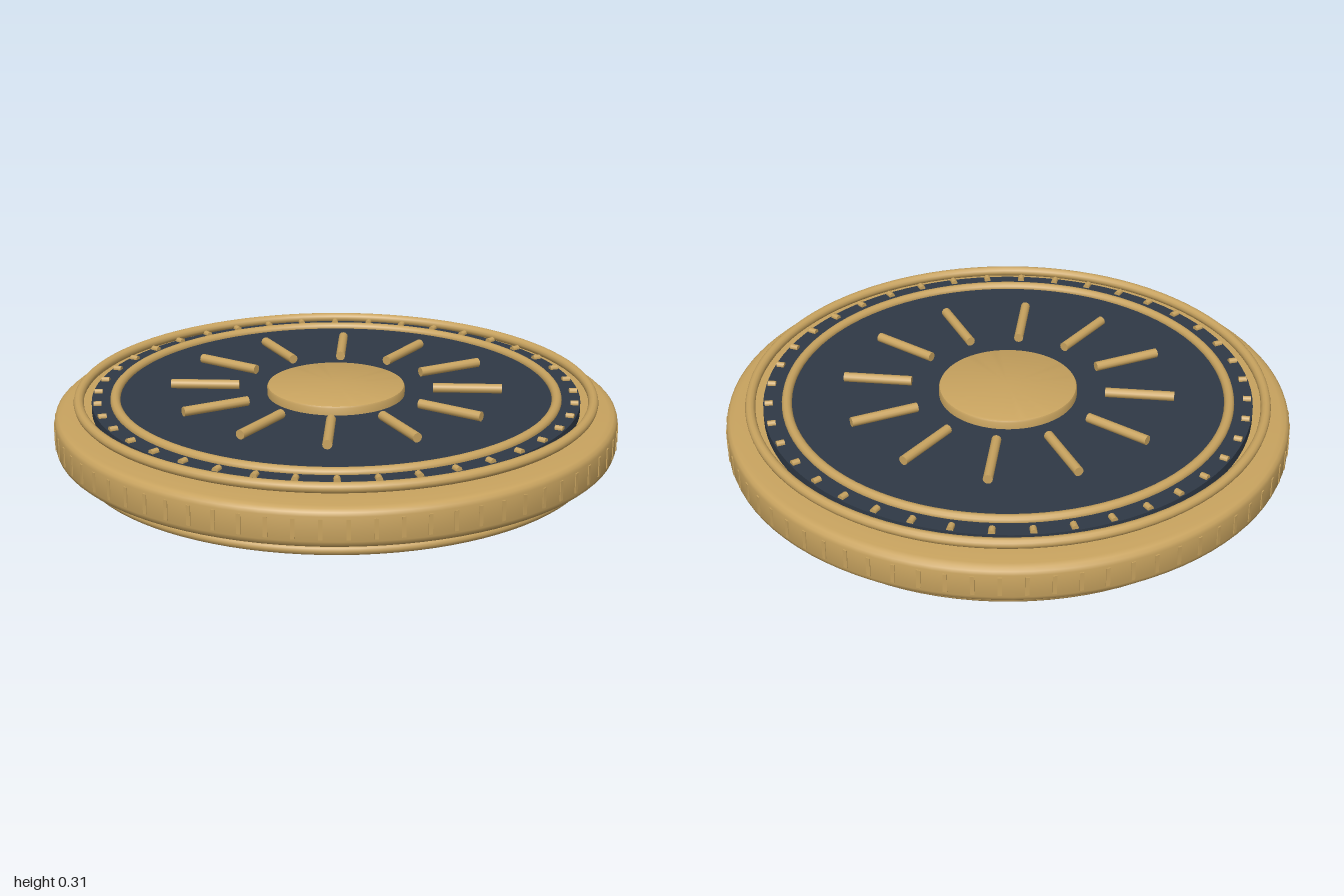
import * as THREE from 'three';
import { toCreasedNormals } from 'three/addons/utils/BufferGeometryUtils.js';

const gold = new THREE.MeshStandardMaterial({ color: 0xc8a35f });
gold.name = 'gold';
const navy = new THREE.MeshStandardMaterial({ color: 0x2f3946 });
navy.name = 'navy';

const MID = 0.167; // middle height of the disc
const FACE = 0.103; // distance from the middle to each dark face

export function createModel() {
  const root = new THREE.Group();
  root.name = 'medallion';

  const add = (parent, name, geometry, material = gold) => {
    const mesh = new THREE.Mesh(geometry, material);
    mesh.name = name;
    parent.add(mesh);
    return mesh;
  };
  const lathe = (points, segments = 96) =>
    toCreasedNormals(new THREE.LatheGeometry(points.map(p => new THREE.Vector2(...p)), segments), 0.6);

  // Radial bar lying flat, centred at radius r and angle a
  const radialBar = (parent, name, r, a, y, radius, length, sides = 12) => {
    const bar = add(parent, name, new THREE.CylinderGeometry(radius, radius, length, sides).rotateZ(Math.PI / 2));
    bar.position.set(Math.cos(a) * r, y, Math.sin(a) * r);
    bar.rotation.y = -a;
  };

  // Dark core disc
  add(root, 'core', new THREE.CylinderGeometry(0.865, 0.865, FACE * 2, 96), navy).position.y = MID;

  // Outer rim with rounded edges
  add(root, 'rim', lathe([
    [0.86, -0.068], [0.965, -0.068], [0.983, -0.064], [0.993, -0.055], [0.997, -0.042],
    [0.997, 0.042], [0.993, 0.055], [0.983, 0.064], [0.965, 0.068], [0.86, 0.068],
  ])).position.y = MID;

  // Fine ridges around the edge
  const ridges = new THREE.Group();
  ridges.name = 'edgeRidges';
  root.add(ridges);
  for (let i = 0; i < 72; i++) {
    const a = (i / 72) * Math.PI * 2;
    const ridge = add(ridges, 'ridge', new THREE.BoxGeometry(0.012, 0.07, 0.014));
    ridge.position.set(Math.cos(a) * 0.994, MID, Math.sin(a) * 0.994);
    ridge.rotation.y = -a;
  }

  // Border rings and small studs on both faces
  for (const [label, side] of [['top', 1], ['bottom', -1]]) {
    const border = new THREE.Group();
    border.name = label + 'Border';
    root.add(border);
    const y = MID + side * 0.105;
    for (const [name, r] of [['outerRing', 0.91], ['innerRing', 0.782]]) {
      add(border, name, new THREE.TorusGeometry(r, 0.018, 12, 96).rotateX(Math.PI / 2)).position.y = y;
    }
    for (let i = 0; i < 40; i++) {
      radialBar(border, 'stud', 0.845, (i / 40) * Math.PI * 2, y, 0.012, 0.028, 8);
    }
  }

  // Sun on the upper face
  const sun = new THREE.Group();
  sun.name = 'sun';
  root.add(sun);
  add(sun, 'sunDisc', lathe([
    [0.245, 0.26], [0.245, 0.295], [0.242, 0.301], [0.235, 0.304], [0, 0.304],
  ], 64));
  for (let i = 0; i < 12; i++) {
    radialBar(sun, 'sunRay', 0.467, (i / 12) * Math.PI * 2, 0.293, 0.017, 0.243);
  }

  // Crescent on the lower face: two arcs, each with capped ends
  const moon = new THREE.Group();
  moon.name = 'crescentMoon';
  moon.position.y = 0.045;
  root.add(moon);
  const arc = (name, cx, radius, tube, tipAngle) => {
    const sweep = 2 * (Math.PI - tipAngle);
    add(moon, name, new THREE.TorusGeometry(radius, tube, 16, 64, sweep)
      .rotateZ(tipAngle).rotateX(Math.PI / 2)).position.x = cx;
    for (const s of [1, -1]) {
      const cap = add(moon, name + 'Cap', new THREE.CylinderGeometry(tube, tube, 0.004, 16).rotateX(Math.PI / 2));
      cap.position.set(cx + Math.cos(tipAngle) * radius, 0, s * Math.sin(tipAngle) * radius);
      cap.rotation.y = -s * tipAngle;
    }
  };
  arc('outerArc', 0, 0.432, 0.045, 1.1);
  arc('innerArc', 0.28, 0.392, 0.04, 1.79);

  // Small crossed-bar stars on the lower face
  for (const [x, z] of [[0.43, -0.43], [0.07, -0.57], [0.53, 0.215]]) {
    const star = new THREE.Group();
    star.name = 'star';
    star.position.set(x, 0.044, z);
    root.add(star);
    for (const a of [0, Math.PI / 2]) radialBar(star, 'starBar', 0, a, 0, 0.019, 0.1);
  }

  return root;
}
